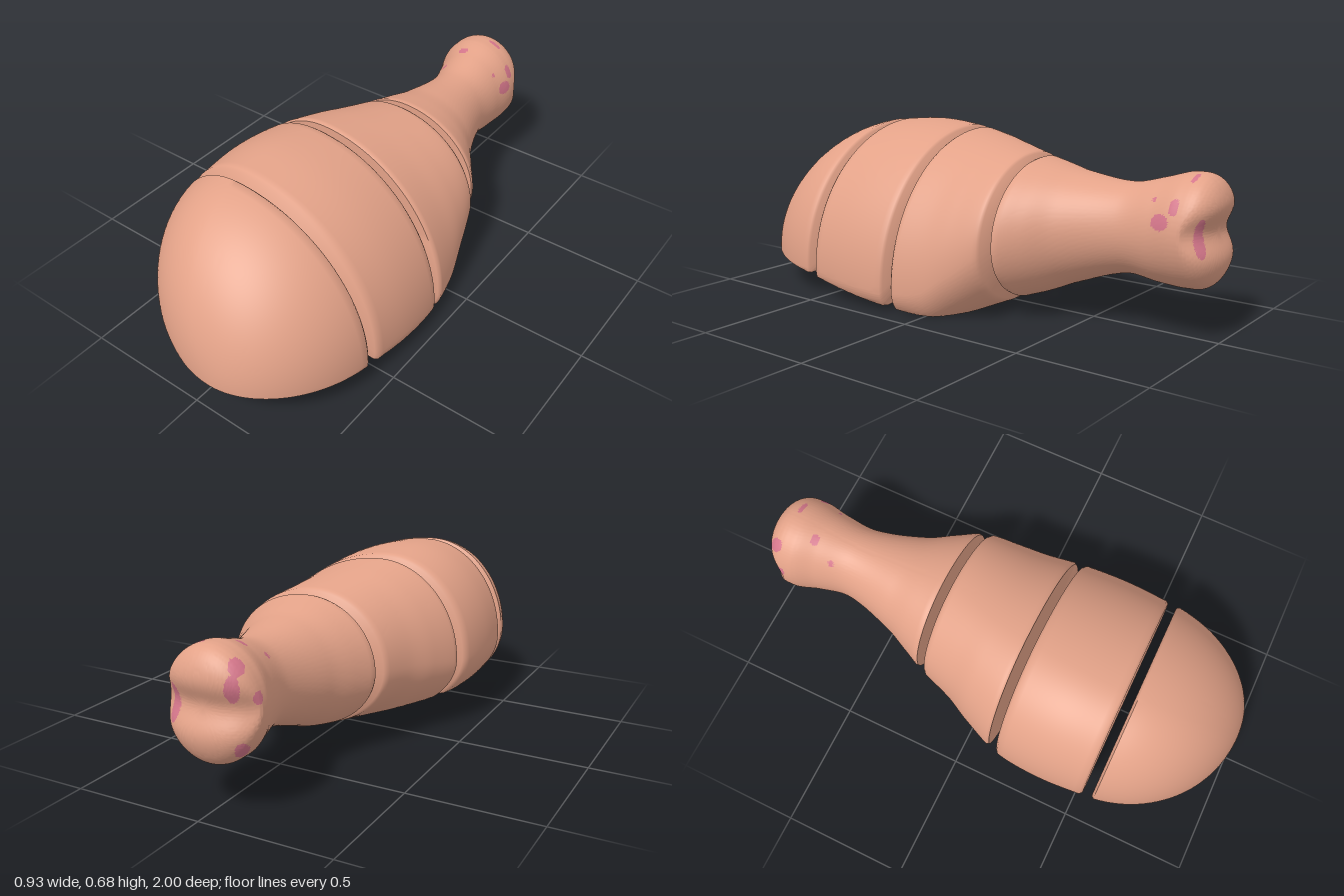
import * as THREE from 'three';
import { toCreasedNormals } from 'three/addons/utils/BufferGeometryUtils.js';

const meat = new THREE.MeshStandardMaterial({ color: 0xe3a288, side: THREE.DoubleSide });
meat.name = 'meat';
const pink = new THREE.MeshStandardMaterial({ color: 0xd4768a, side: THREE.DoubleSide });
pink.name = 'pinkBlush';

// Cross-sections: z, left x, right x, top y, bottom y, top's x, left's y, right's y, bottom's x
const ROWS = [
  [0.55, -0.452, 0.445, 0.662, -0.06, -0.13, 0.28, 0.11, 0.15],
  [0.35, -0.465, 0.46, 0.676, -0.06, -0.13, 0.28, 0.09, 0.2],
  [0.16, -0.447, 0.454, 0.662, -0.05, -0.11, 0.28, 0.08, 0.25],
  [0.0, -0.385, 0.425, 0.638, -0.04, -0.08, 0.3, 0.1, 0.3],
  [-0.1, -0.335, 0.398, 0.62, 0.0, -0.05, 0.31, 0.17, 0.24],
  [-0.25, -0.282, 0.35, 0.592, 0.058, 0, 0.32, 0.28, 0.1],
  [-0.35, -0.235, 0.282, 0.57, 0.09, 0, 0.33, 0.32, 0.05],
  [-0.45, -0.19, 0.215, 0.548, 0.132, 0, 0.34, 0.34, 0.02],
  [-0.65, -0.14, 0.145, 0.53, 0.196, 0, 0.36, 0.36, 0],
  [-0.78, -0.164, 0.147, 0.56, 0.182, -0.01, 0.37, 0.37, -0.01],
  [-0.86, -0.194, 0.158, 0.584, 0.175, -0.02, 0.38, 0.38, -0.02],
  [-0.9, -0.197, 0.158, 0.587, 0.177, -0.02, 0.38, 0.38, -0.02],
];

// Smooth interpolation of one column along z
function column(k, z) {
  z = THREE.MathUtils.clamp(z, -0.9, 0.55);
  let i = 0;
  while (i < ROWS.length - 2 && z < ROWS[i + 1][0]) i++;
  const slope = (n) => {
    const a = ROWS[Math.max(n - 1, 0)], b = ROWS[Math.min(n + 1, ROWS.length - 1)];
    return (b[k] - a[k]) / (b[0] - a[0]);
  };
  const a = ROWS[i], b = ROWS[i + 1], h = b[0] - a[0], t = (z - a[0]) / h;
  const t2 = t * t, t3 = t2 * t;
  return (2 * t3 - 3 * t2 + 1) * a[k] + (t3 - 2 * t2 + t) * h * slope(i)
    + (3 * t2 - 2 * t3) * b[k] + (t3 - t2) * h * slope(i + 1);
}

// Height at which the open underside is cut, twisting slightly along the length
function underside(x, z) {
  const left = 0.12 + 0.012 * z;
  const right = Math.min(-0.008 + 0.165 * z, 0.031 + 0.1 * z);
  return THREE.MathUtils.lerp(left, right, (x + 0.39) / 0.84);
}

const SEG = 180;
const KNOB = 0.115; // length of the knob's rounded end before the groove is pressed in

// One closed ring made of four quarter ellipses, clockwise seen from the front
function ring(z, scale) {
  const [xl, xr, yt, yb, xt, yL, yR, xb] = [1, 2, 3, 4, 5, 6, 7, 8].map((k) => column(k, z));
  let cx = 0, cy = 0.35, f = scale;
  if (z > 0.55) { // domed front
    cx = 0.07; cy = 0.13;
    f *= Math.max(0.01, Math.sqrt(Math.max(0, 1 - ((z - 0.5) / 0.5) ** 2)) / 0.995);
  } else if (z < -0.9) { // rounded knob end
    cx = -0.02; cy = 0.385;
    f *= Math.max(0.01, Math.max(0, 1 - ((-0.9 - z) / KNOB) ** 2.5) ** 0.45);
  }
  const points = [];
  for (let j = 0; j < SEG; j++) {
    const a = (j / SEG) * Math.PI * 2, s = Math.sin(a), c = Math.cos(a);
    const midX = c >= 0 ? xt : xb, midY = s >= 0 ? yR : yL;
    let x = midX + s * (s >= 0 ? xr - midX : midX - xl);
    let y = midY + c * (c >= 0 ? yt - midY : midY - yb);
    x = cx + (x - cx) * f;
    y = cy + (y - cy) * f;
    const floor = z > -0.2 ? underside(x, z) : -1;
    // groove across the knob end
    const w = THREE.MathUtils.smoothstep(-z, 0.88, 0.98);
    const dent = 0.045 * w * Math.exp(-(((y - 0.39) / 0.065) ** 2));
    const p = new THREE.Vector3(x, Math.max(y, floor), z + dent);
    p.cut = y < floor;
    points.push(p);
  }
  return points;
}

// Blush patches on the knob: centre and radii
const SPOTS = [
  [0.15, 0.49, -0.875, 0.04, 0.035, 0.02],
  [0.15, 0.43, -0.83, 0.04, 0.028, 0.035],
  [0.14, 0.5, -0.79, 0.04, 0.015, 0.012],
  [0.1, 0.38, -0.965, 0.025, 0.07, 0.03],
  [-0.13, 0.53, -0.94, 0.025, 0.04, 0.03],
  [-0.13, 0.46, -0.97, 0.025, 0.05, 0.025],
  [-0.185, 0.43, -0.91, 0.03, 0.022, 0.018],
  [-0.14, 0.27, -0.94, 0.025, 0.045, 0.03],
  [0.04, 0.58, -0.907, 0.03, 0.05, 0.01],
  [-0.06, 0.57, -0.8, 0.025, 0.03, 0.018],
  [-0.1, 0.51, -0.72, 0.012, 0.03, 0.012],
];
const inSpot = (p) => SPOTS.some(([x, y, z, a, b, c]) =>
  ((p.x - x) / a) ** 2 + ((p.y - y) / b) ** 2 + ((p.z - z) / c) ** 2 < 1);

// A hollow slice with closed ends and open underside, from [z, scale] stations, front to back
function slice(name, stations) {
  const rings = stations.map(([z, s]) => ring(z, s));
  const plain = [], blush = [];
  const tri = (a, b, c) => {
    const mid = a.clone().add(b).add(c).divideScalar(3);
    const list = inSpot(mid) ? blush : plain;
    for (const p of [a, b, c]) list.push(p.x, p.y, p.z);
  };
  const wall = (a, b, c) => {
    if (!(a.cut && b.cut && c.cut)) tri(a, b, c);
  };
  const centre = (r) => r.reduce((sum, p) => sum.add(p), new THREE.Vector3()).divideScalar(SEG);
  const first = rings[0], last = rings[rings.length - 1];
  const front = centre(first), back = centre(last);
  for (let j = 0; j < SEG; j++) {
    const k = (j + 1) % SEG;
    for (let i = 0; i < rings.length - 1; i++) {
      const r = rings[i], q = rings[i + 1];
      wall(r[j], r[k], q[j]);
      wall(r[k], q[k], q[j]);
    }
    tri(front, first[k], first[j]);
    tri(back, last[j], last[k]);
  }
  let geo = new THREE.BufferGeometry();
  geo.setAttribute('position', new THREE.Float32BufferAttribute(plain.concat(blush), 3));
  geo = toCreasedNormals(geo, 1.0);
  geo.addGroup(0, plain.length / 3, 0);
  if (blush.length) geo.addGroup(plain.length / 3, blush.length / 3, 1);
  const mesh = new THREE.Mesh(geo, [meat, pink]);
  mesh.name = name;
  return mesh;
}

export function createModel() {
  const model = new THREE.Group();
  model.name = 'slicedDrumstick';
  const EDGE = 0.01; // softened rim beside each cut
  const parts = [
    ['frontSlice', 1, 0.567, 28],
    ['secondSlice', 0.53, 0.16, 14],
    ['thirdSlice', 0.123, -0.23, 24],
    ['shankAndKnob', -0.267, -0.9 - KNOB, 80],
  ];
  for (const [name, z0, z1, n] of parts) {
    const domed = name === 'frontSlice', knob = name === 'shankAndKnob';
    const a = domed ? z0 : z0 - EDGE, b = knob ? z1 : z1 + EDGE;
    const stations = domed ? [] : [[z0, 0.978]];
    for (let i = 0; i <= n; i++) {
      const t = i / n;
      const e = domed ? t * t : knob ? 1 - (1 - t) ** 1.7 : t;
      stations.push([a + (b - a) * e, 1]);
    }
    if (!knob) stations.push([z1, 0.978]);
    model.add(slice(name, stations));
  }
  return model;
}
